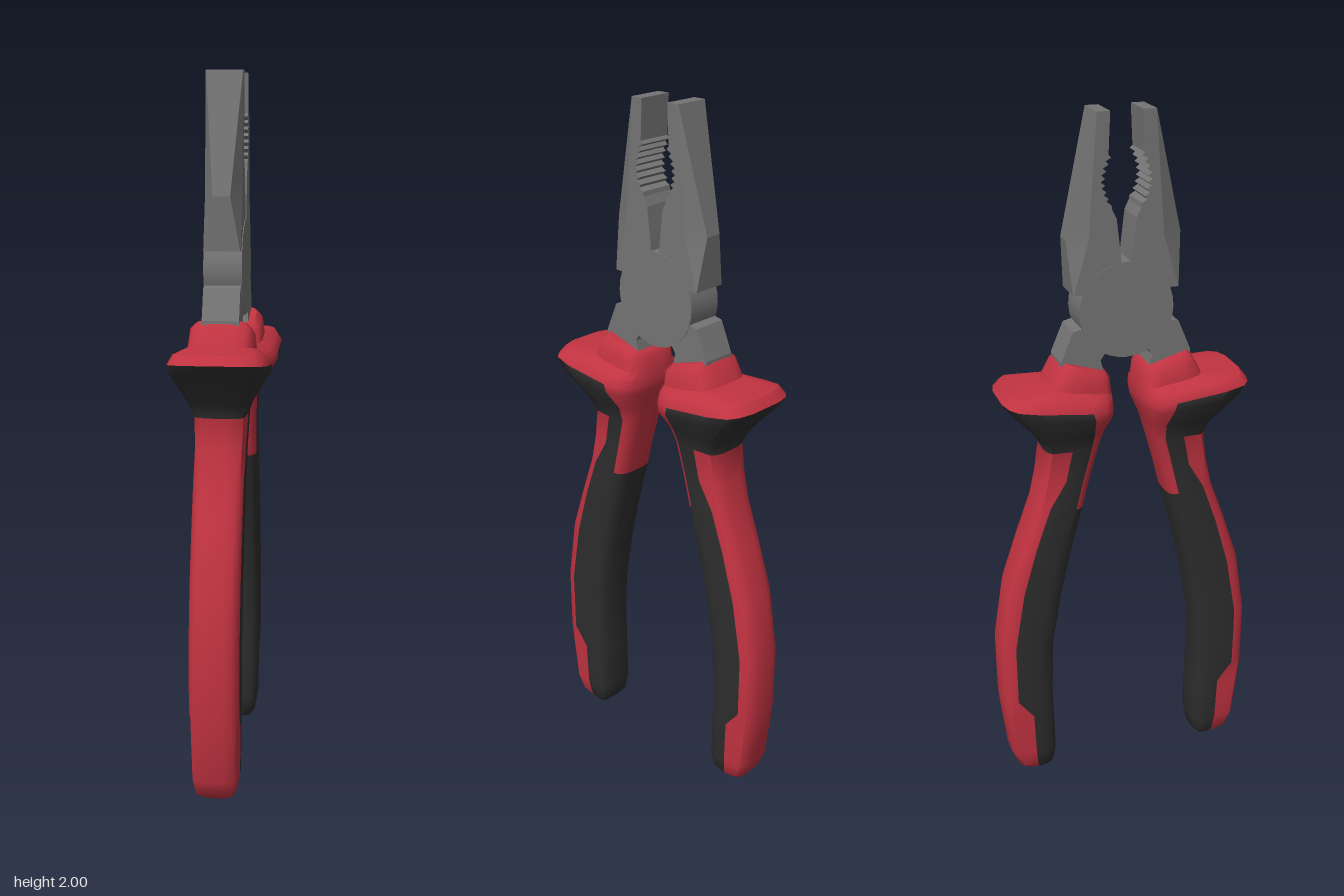
import * as THREE from 'three';
import { toCreasedNormals } from 'three/addons/utils/BufferGeometryUtils.js';

const red = new THREE.MeshStandardMaterial({ color: 0xc23341 });
red.name = 'red grip';
const dark = new THREE.MeshStandardMaterial({ color: 0x2d2d2d });
dark.name = 'dark rubber';
const steel = new THREE.MeshStandardMaterial({ color: 0x747474 });
steel.name = 'steel';

// Skin a stack of equal-length rings (bottom to top, counterclockwise from above) and cap both ends.
// pick(row, segment) chooses the material index.
function loft(rings, crease, pick = () => 0) {
  const n = rings[0].length, last = rings.length - 1;
  const points = rings.flat();
  const centre = (ring) => {
    const c = new THREE.Vector3();
    ring.forEach((p) => c.add(p));
    return c.divideScalar(n);
  };
  const low = points.push(centre(rings[0])) - 1;
  const high = points.push(centre(rings[last])) - 1;
  const faces = [[], []];
  for (let j = 0; j < n; j++) {
    const k = (j + 1) % n;
    for (let r = 0; r < last; r++) {
      const a = r * n + j, b = r * n + k;
      faces[pick(r, j)].push(a, b, b + n, a, b + n, a + n);
    }
    faces[pick(0, j)].push(low, k, j);
    faces[pick(last - 1, j)].push(high, last * n + j, last * n + k);
  }
  const geo = new THREE.BufferGeometry().setFromPoints(points);
  geo.setIndex(faces.flat());
  geo.addGroup(0, faces[0].length, 0);
  if (faces[1].length) geo.addGroup(faces[0].length, faces[1].length, 1);
  return toCreasedNormals(geo, crease);
}

// Grip stations: outer z, y, inner z, y, half width, then the two limits of the side strip.
const GRIP = [
  [0.315, 0.0, 0.25, 0.0, 0.042, 0.3, 0.5],
  [0.345, 0.02, 0.233, 0.02, 0.058, 0.3, 0.5],
  [0.365, 0.07, 0.225, 0.07, 0.067, 0.3, 0.5],
  [0.382, 0.21, 0.228, 0.21, 0.069, 0.3, 0.47],
  [0.388, 0.27, 0.23, 0.27, 0.07, 0.3, 0.74],
  [0.39, 0.46, 0.225, 0.45, 0.07, 0.3, 0.75],
  [0.36, 0.65, 0.197, 0.61, 0.07, 0.3, 0.74],
  [0.312, 0.79, 0.163, 0.76, 0.07, 0.3, 0.76],
  [0.268, 0.91, 0.128, 0.89, 0.07, 0.2, 0.75],
  [0.25, 0.99, 0.106, 0.98, 0.071, 0.2, 0.55],
  [0.238, 1.075, 0.078, 1.08, 0.075, 0.2, 0.55],
  [0.255, 1.115, 0.064, 1.13, 0.092, 0.22, 0.6],
  [0.335, 1.205, 0.045, 1.18, 0.134, 0.24, 0.7],
  [0.358, 1.237, 0.042, 1.2, 0.136, 0.25, 0.72],
  [0.338, 1.262, 0.042, 1.225, 0.122, 0.25, 0.72],
  [0.222, 1.268, 0.044, 1.24, 0.092, 0.25, 0.72],
  [0.195, 1.32, 0.048, 1.28, 0.086, 0.25, 0.75],
  [0.18, 1.335, 0.06, 1.298, 0.07, 0.25, 0.75],
];
const GRIP_FLARE = 10, GRIP_RIM = 13, GRIP_INNER_TOP = 8;

function gripRing([zo, yo, zi, yi, w, a, b]) {
  const half = [[0, 0.4], [0.04, 0.75], [0.12, 0.93], [a, 1], [b, 1], [0.9, 0.9], [0.965, 0.72], [1, 0.4]];
  const at = (t, s) => new THREE.Vector3(s * w, yi + (yo - yi) * t, zi + (zo - zi) * t);
  return [...half.map(([t, s]) => at(t, -s)), ...half.reverse().map(([t, s]) => at(t, s))];
}

// Dark rubber on the inner side, the side strip and the underside of the flared guard.
function gripColour(row, j) {
  const k = j === 15 ? -1 : Math.min(j, 14 - j);
  if (row < GRIP_INNER_TOP) return k <= 3 ? 1 : 0;
  if (row < GRIP_FLARE) return k === 3 ? 1 : 0;
  if (row < GRIP_RIM) return k >= 3 ? 1 : 0;
  return 0;
}

// Inner edge of the jaw (y, z): cutter, toothed pipe hole, nose.
function jawInner() {
  const edge = [[1.52, 0.012], [1.6, 0.014], [1.72, 0.028], [1.745, 0.04]];
  const teeth = 7;
  for (let i = 0; i <= teeth * 2; i++) {
    const f = i / (teeth * 2);
    edge.push([1.757 + 0.125 * f, 0.042 + 0.018 * Math.sin(Math.PI * f) + (i % 2 ? 0.012 : 0)]);
  }
  edge.push([1.89, 0.05], [2.0, 0.045]);
  return edge;
}

// Jaw outline and its corner facets are widest at the shoulder.
function jawRing([y, zi]) {
  const mix = THREE.MathUtils.lerp, shoulder = 1.667, w = 0.051;
  const below = y < shoulder;
  const f = below ? (y - 1.52) / (shoulder - 1.52) : (2 - y) / (2 - shoulder);
  const zo = below ? mix(0.15, 0.162, f) : mix(0.082, 0.162, f);
  const cx = 0.001 + 0.026 * f, cz = 0.001 + 0.055 * f;
  return [[-w, zi], [-w, zo - cz], [-w + cx, zo], [w - cx, zo], [w, zo - cz], [w, zi]]
    .map(([x, z]) => new THREE.Vector3(x, y, z));
}

function makeHalf() {
  const half = new THREE.Group();
  const add = (name, geo, mat) => {
    const mesh = new THREE.Mesh(geo, mat);
    mesh.name = name;
    half.add(mesh);
    return mesh;
  };

  add('handleGrip', loft(GRIP.map(gripRing), 0.75, gripColour), [red, dark]);

  const stations = jawInner();
  stations.push([1.667, 0.0216]);
  stations.sort((p, q) => p[0] - q[0]);
  add('jaw', loft(stations.map(jawRing), 0.2), steel);

  // Shank running from the pivot into the grip
  const outline = new THREE.Shape([
    [0.0, 1.46], [0.055, 1.36], [0.075, 1.33], [0.06, 1.27], [0.19, 1.27],
    [0.188, 1.335], [0.152, 1.42], [0.118, 1.428], [0.1, 1.46],
  ].map(([z, y]) => new THREE.Vector2(z, y)));
  const shank = new THREE.ExtrudeGeometry(outline, { depth: 0.102, bevelEnabled: false });
  shank.rotateY(-Math.PI / 2).translate(0.051, 0, 0);
  add('shank', shank, steel);

  // Each half carries one face of the pivot disc
  const disc = new THREE.CylinderGeometry(0.135, 0.135, 0.053, 32);
  disc.rotateZ(Math.PI / 2).translate(0.0265, 1.468, 0);
  add('pivotDisc', disc, steel);
  return half;
}

export function createModel() {
  const model = new THREE.Group();
  model.name = 'pliers';
  ['frontHalf', 'backHalf'].forEach((name, i) => {
    const half = makeHalf();
    half.name = name;
    half.rotation.y = i * Math.PI;
    model.add(half);
  });
  return model;
}
